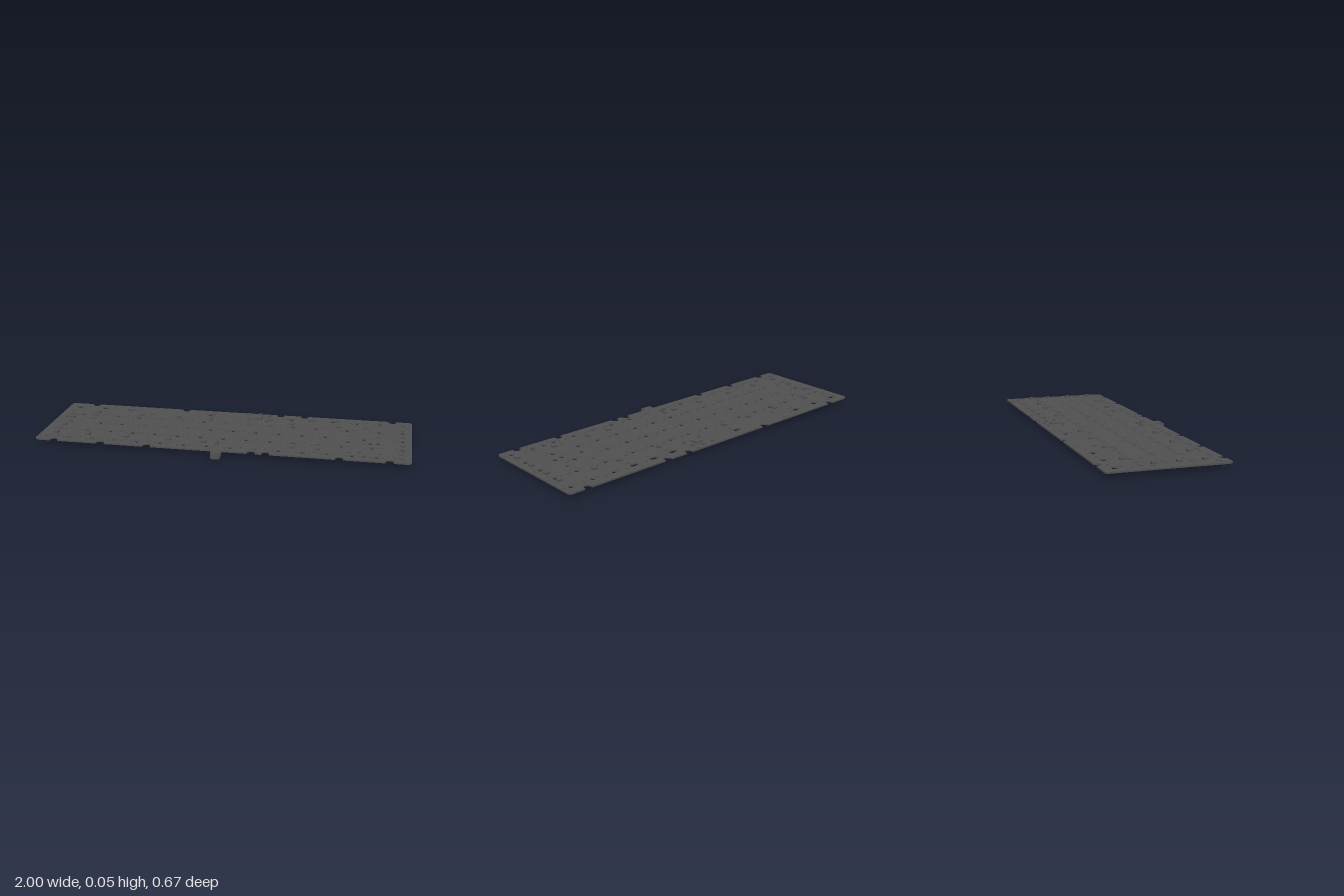
import * as THREE from 'three';

const U = 0.1265;              // key pitch
const X0 = -0.949;             // centre of the first key column
const TOP = 0.032, BOTTOM = 0.024;
const ZB = -0.335, ZF = 0.288; // board edges
const ROW_Z = [0.235, 0.107, -0.02, -0.146, -0.273];

const run = (start, count) => Array.from({ length: count }, (_, i) => start + i);

// Key centres per row, in pitches from the first column
const ROWS = [
  run(0, 16),
  [0.25, ...run(1.5, 12), 13.75, 15],
  [0.375, ...run(1.75, 11), 13.375, 15],
  [0.625, ...run(1.25, 11), 12.625, 14, 15],
  [0.125, 1.375, 2.625, 6.375, 10, 11, 12, 13, 14, 15],
];
// Stabilised keys: row, centre, half spacing
const STABS = [[0, 13.5, 0.079], [2, 13.375, 0.079], [3, 0.625, 0.079], [4, 6.375, 0.332]];

const BACK_NOTCHES = [-0.85, -0.3, 0.255, 0.395, 0.89];
const FRONT_NOTCHES = [-0.895, -0.635, -0.38, 0.18, 0.255, 0.635, 0.89];
const NOTCH_R = 0.021, NOTCH_IN = 0.01;

// Board outline with rounded corners and U-shaped edge notches
function boardOutline() {
  const s = new THREE.Shape(), c = 0.02;
  s.moveTo(-1 + c, ZB);
  for (const x of BACK_NOTCHES) {
    s.lineTo(x - NOTCH_R, ZB);
    s.lineTo(x - NOTCH_R, ZB + NOTCH_IN);
    s.absarc(x, ZB + NOTCH_IN, NOTCH_R, Math.PI, 0, true);
    s.lineTo(x + NOTCH_R, ZB);
  }
  s.lineTo(1 - c, ZB);
  s.absarc(1 - c, ZB + c, c, -Math.PI / 2, 0, false);
  s.lineTo(1, ZF - c);
  s.absarc(1 - c, ZF - c, c, 0, Math.PI / 2, false);
  for (const x of [...FRONT_NOTCHES].reverse()) {
    s.lineTo(x + NOTCH_R, ZF);
    s.lineTo(x + NOTCH_R, ZF - NOTCH_IN);
    s.absarc(x, ZF - NOTCH_IN, NOTCH_R, 0, -Math.PI, true);
    s.lineTo(x - NOTCH_R, ZF);
  }
  s.lineTo(-1 + c, ZF);
  s.absarc(-1 + c, ZF - c, c, Math.PI / 2, Math.PI, false);
  s.lineTo(-1, ZB + c);
  s.absarc(-1 + c, ZB + c, c, Math.PI, Math.PI * 1.5, false);
  return s;
}

// Switch, pin and stabiliser holes; any that would overlap is left out
function drillHoles(shape) {
  const taken = [
    ...BACK_NOTCHES.map((x) => [x, ZB + NOTCH_IN, NOTCH_R, 0]),
    ...FRONT_NOTCHES.map((x) => [x, ZF - NOTCH_IN, NOTCH_R, 0]),
  ];
  const drill = (x, z, r, half = 0) => {
    if (Math.abs(x) + half + r > 0.99 || z - r < ZB + 0.004 || z + r > ZF - 0.004) return;
    for (const [tx, tz, tr, th] of taken) {
      const dx = Math.max(0, Math.abs(x - tx) - half - th);
      if (Math.hypot(dx, z - tz) < r + tr + 0.001) return;
    }
    taken.push([x, z, r, half]);
    const p = new THREE.Path();
    p.absarc(x + half, z, r, -Math.PI / 2, Math.PI / 2, false);
    p.absarc(x - half, z, r, Math.PI / 2, Math.PI * 1.5, false);
    shape.holes.push(p);
  };
  const keys = [];
  ROWS.forEach((row, i) => row.forEach((k) => keys.push([X0 + k * U, ROW_Z[i], i === 4 && k < 13])));
  keys.push([0.78, 0.043, false]);
  // Centre posts first, slotted where several layouts share a place
  for (const [x, z, slot] of keys) drill(x, z, 0.0135, slot ? 0.012 : 0);
  drill(X0 + 13.5 * U, ROW_Z[0], 0.0135);
  drill(X0 + 0.125 * U, ROW_Z[3], 0.0135);
  for (const [r, k, half] of STABS) {
    for (const s of [-1, 1]) {
      const x = X0 + k * U + s * half;
      drill(x, ROW_Z[r] - 0.0465, 0.0101);
      drill(x, ROW_Z[r] + 0.0547, 0.0132);
    }
  }
  for (const [x, z, slot] of keys) {
    const h = slot ? 0.008 : 0;
    drill(x - 0.0253, z + 0.0169, 0.005, h);
    drill(x + 0.0169, z + 0.0337, 0.005, h);
    drill(x - 0.0337, z, 0.0058, h);
    drill(x + 0.0337, z, 0.0058, h);
  }
}

export function createModel() {
  const model = new THREE.Group();
  model.name = 'keyboardCircuitBoard';
  const material = new THREE.MeshStandardMaterial({ color: 0x505050 });

  const add = (parent, name, geometry, x = 0, y = 0, z = 0) => {
    const mesh = new THREE.Mesh(geometry, material);
    mesh.name = name;
    mesh.position.set(x, y, z);
    parent.add(mesh);
    return mesh;
  };
  const box = (parent, name, w, h, d, x, y, z) =>
    add(parent, name, new THREE.BoxGeometry(w, h, d), x, y + h / 2, z);
  const group = (name) => {
    const g = new THREE.Group();
    g.name = name;
    model.add(g);
    return g;
  };

  // Board
  const shape = boardOutline();
  drillHoles(shape);
  const plate = new THREE.ExtrudeGeometry(shape, {
    depth: TOP - BOTTOM, bevelEnabled: false, curveSegments: 6,
  });
  plate.rotateX(Math.PI / 2);
  add(model, 'board', plate, 0, TOP, 0);

  // One diode beside each switch
  const diodes = group('diodes');
  ROWS.forEach((row, i) => row.forEach((k) => {
    const x = X0 + k * U + 0.056;
    if (x < 0.98) box(diodes, 'diode', 0.008, 0.005, 0.011, x, TOP, ROW_Z[i] - 0.012);
  }));

  // Ring of lights around the board
  const lights = group('lights');
  const light = (x, z) => box(lights, 'light', 0.025, 0.011, 0.024, x, TOP, z);
  for (const x of [-0.915, -0.735, -0.52, -0.285, -0.09, 0.38, 0.515, 0.73]) light(x, 0.18);
  for (const x of [-0.795, -0.535, -0.32, -0.13, 0.335, 0.595, 0.745, 0.95]) light(x, -0.185);
  for (const z of [-0.077, 0.052]) for (const x of [-0.915, 0.95]) light(x, z);
  for (const x of [0.95]) light(x, 0.18);

  // Controller and the small parts around it
  box(model, 'controllerChip', 0.046, 0.01, 0.046, 0.135, TOP, -0.255);
  const smallParts = group('smallParts');
  for (const [x, z] of [[0.07, -0.305], [0.14, -0.31], [0.19, -0.285], [0.21, -0.235], [0.085, -0.22]]) {
    box(smallParts, 'smallPart', 0.018, 0.01, 0.012, x, TOP, z);
  }
  box(smallParts, 'fuse', 0.014, 0.015, 0.014, -0.02, TOP, 0.203);
  box(smallParts, 'protectionChip', 0.018, 0.011, 0.02, -0.02, TOP, 0.18);

  // Cable socket hanging off the front edge
  const socket = group('cableSocket');
  box(socket, 'socketTab', 0.056, TOP - BOTTOM, 0.036, 0, BOTTOM, 0.304);
  box(socket, 'socketShell', 0.05, 0.018, 0.048, 0, 0.006, 0.311);
  box(socket, 'socketBase', 0.046, 0.006, 0.048, 0, 0, 0.311);
  return model;
}
